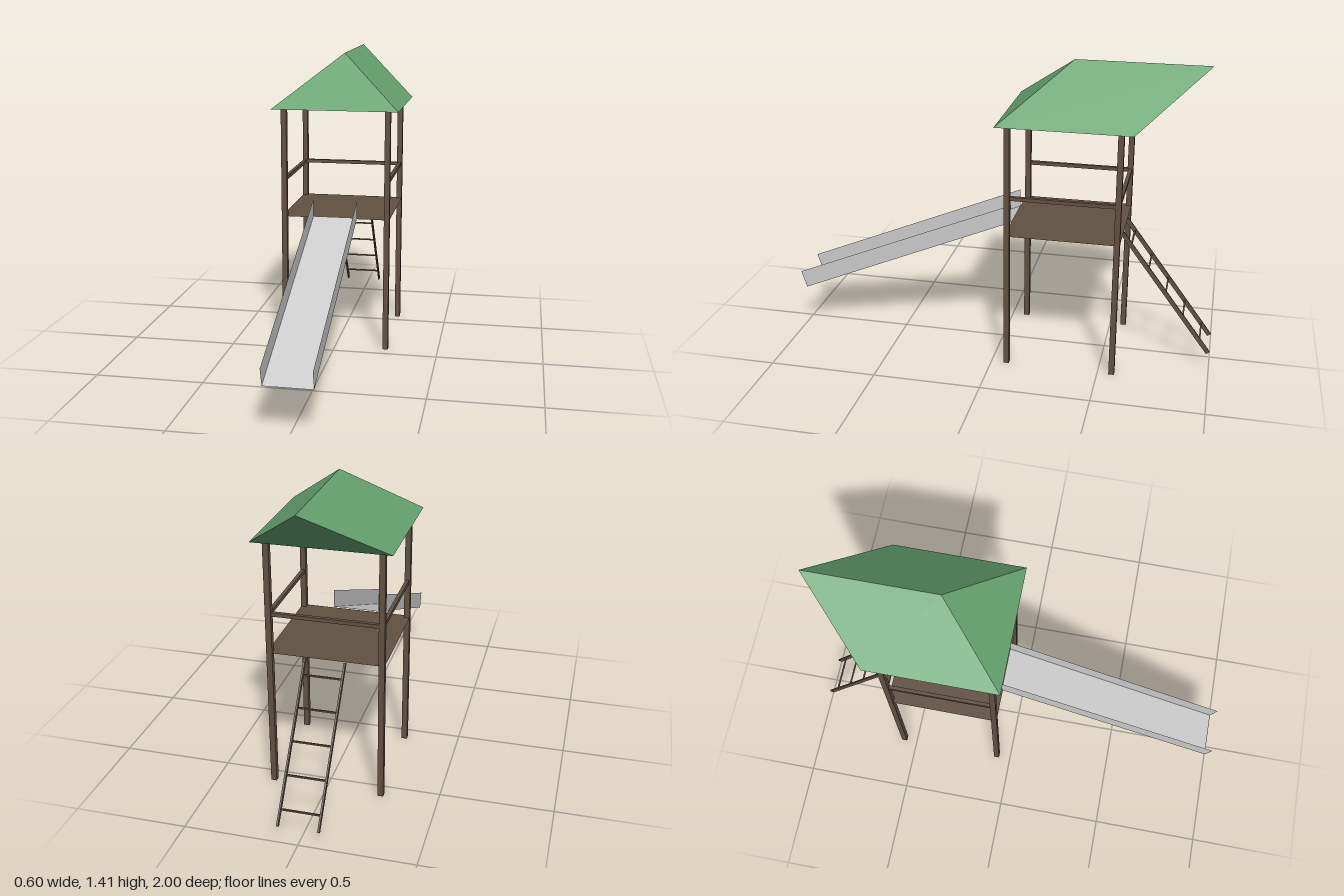
import * as THREE from 'three';

const wood = new THREE.MeshStandardMaterial({ color: 0x615241 });
const woodSheet = new THREE.MeshStandardMaterial({ color: 0x615241, side: THREE.DoubleSide });
const green = new THREE.MeshStandardMaterial({ color: 0x66a370, flatShading: true, side: THREE.DoubleSide });
const grey = new THREE.MeshStandardMaterial({ color: 0xcccccc, flatShading: true, side: THREE.DoubleSide });

// Square-section beam between two points
function beam(name, a, b, w, d = w) {
  const from = new THREE.Vector3(...a), to = new THREE.Vector3(...b);
  const mesh = new THREE.Mesh(new THREE.BoxGeometry(w, d, from.distanceTo(to)), wood);
  mesh.name = name;
  mesh.position.copy(from).add(to).multiplyScalar(0.5);
  mesh.lookAt(to);
  return mesh;
}

// Thin sheet through four corners in order
function sheet(name, corners, material) {
  const geo = new THREE.BufferGeometry();
  geo.setAttribute('position', new THREE.Float32BufferAttribute(corners.flat(), 3));
  geo.setIndex([0, 1, 2, 0, 2, 3]);
  geo.computeVertexNormals();
  const mesh = new THREE.Mesh(geo, material);
  mesh.name = name;
  return mesh;
}

export function createModel() {
  const model = new THREE.Group();
  model.name = 'playTower';
  const px = 0.247, zFront = -0.07, zBack = -0.565, eave = 1.163;

  // Corner posts
  for (const x of [-px, px]) for (const z of [zFront, zBack]) {
    const post = new THREE.Mesh(new THREE.BoxGeometry(0.026, eave, 0.026), wood);
    post.name = 'post';
    post.position.set(x, eave / 2, z);
    model.add(post);
  }

  // Platform
  const deck = new THREE.Mesh(new THREE.PlaneGeometry(0.52, 0.52).rotateX(-Math.PI / 2), woodSheet);
  deck.name = 'platform';
  deck.position.set(0, 0.645, (zFront + zBack) / 2);
  model.add(deck);

  // Guard rails on both sides and the back
  const railY = 0.825;
  for (const x of [-px, px]) model.add(beam('sideRail', [x, railY, zFront], [x, railY, zBack], 0.017));
  model.add(beam('backRail', [-px, railY, zBack], [px, railY, zBack], 0.017));

  // Roof: triangular prism sheared so the ridge leans backwards
  const rise = 0.243, lean = 0.3;
  const gable = new THREE.Shape([
    new THREE.Vector2(-0.3, 0), new THREE.Vector2(0.3, 0), new THREE.Vector2(0, rise),
  ]);
  const roofGeo = new THREE.ExtrudeGeometry(gable, { depth: 0.6, bevelEnabled: false });
  const p = roofGeo.attributes.position;
  for (let i = 0; i < p.count; i++) p.setZ(i, p.getZ(i) - lean * p.getY(i) / rise);
  roofGeo.computeVertexNormals();
  const roof = new THREE.Mesh(roofGeo, green);
  roof.name = 'roof';
  roof.position.set(0, eave, -0.622);
  model.add(roof);

  // Slide: bed with two upright sides
  const slide = new THREE.Group();
  slide.name = 'slide';
  const s = 0.105;
  slide.add(sheet('slideBed', [[-s, 0.65, -0.06], [-s, 0.212, 0.975], [s, 0.212, 0.975], [s, 0.65, -0.06]], grey));
  for (const x of [-s, s]) {
    slide.add(sheet('slideSide', [[x, 0.65, -0.06], [x, 0.212, 0.975], [x, 0.293, 1.0], [x, 0.735, -0.06]], grey));
  }
  model.add(slide);

  // Ladder: two rails and five rungs
  const ladder = new THREE.Group();
  ladder.name = 'ladder';
  const top = [0.637, -0.572], foot = [0.072, -0.992];
  for (const x of [-0.088, 0.088]) {
    ladder.add(beam('ladderRail', [x, ...top], [x, ...foot], 0.008, 0.02));
  }
  for (let i = 0; i < 5; i++) {
    const t = 0.1 + i * 0.2;
    const y = THREE.MathUtils.lerp(top[0], foot[0], t), z = THREE.MathUtils.lerp(top[1], foot[1], t);
    ladder.add(beam('rung', [-0.088, y, z], [0.088, y, z], 0.007));
  }
  model.add(ladder);

  return model;
}
